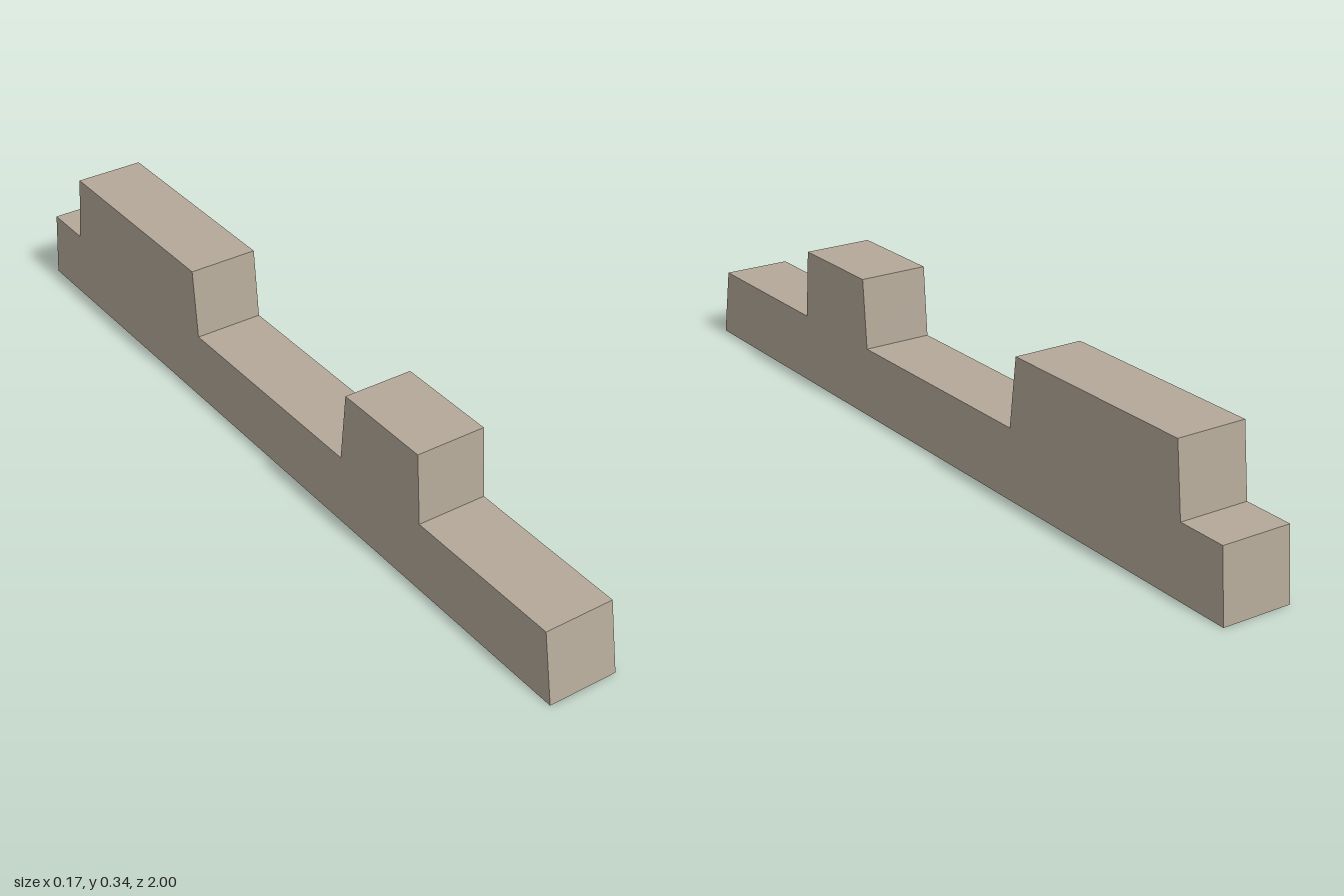
import * as THREE from 'three';

const WIDTH = 0.17, STEP = 0.169, TOP = 0.338;

export function createModel() {
  const model = new THREE.Group();
  model.name = 'steppedBar';

  const stone = new THREE.MeshStandardMaterial({ color: 0xb3a898 });
  stone.name = 'warm grey stone';

  // Side profile as [z, y], from the front foot over both raised blocks to the back foot
  const profile = [
    [1, 0], [0.97, STEP],
    [0.564, STEP], [0.55, TOP], [0.297, TOP], [0.283, STEP],
    [-0.296, STEP], [-0.315, TOP], [-0.845, TOP], [-0.863, STEP],
    [-0.987, STEP], [-1, 0],
  ];
  const shape = new THREE.Shape(profile.map(([z, y]) => new THREE.Vector2(-z, y)));

  // Extrude across the width, then turn the profile to run along z
  const geometry = new THREE.ExtrudeGeometry(shape, { depth: WIDTH, bevelEnabled: false });
  geometry.translate(0, 0, -WIDTH / 2);
  geometry.rotateY(Math.PI / 2);

  const bar = new THREE.Mesh(geometry, stone);
  bar.name = 'barWithRaisedBlocks';
  model.add(bar);
  return model;
}
